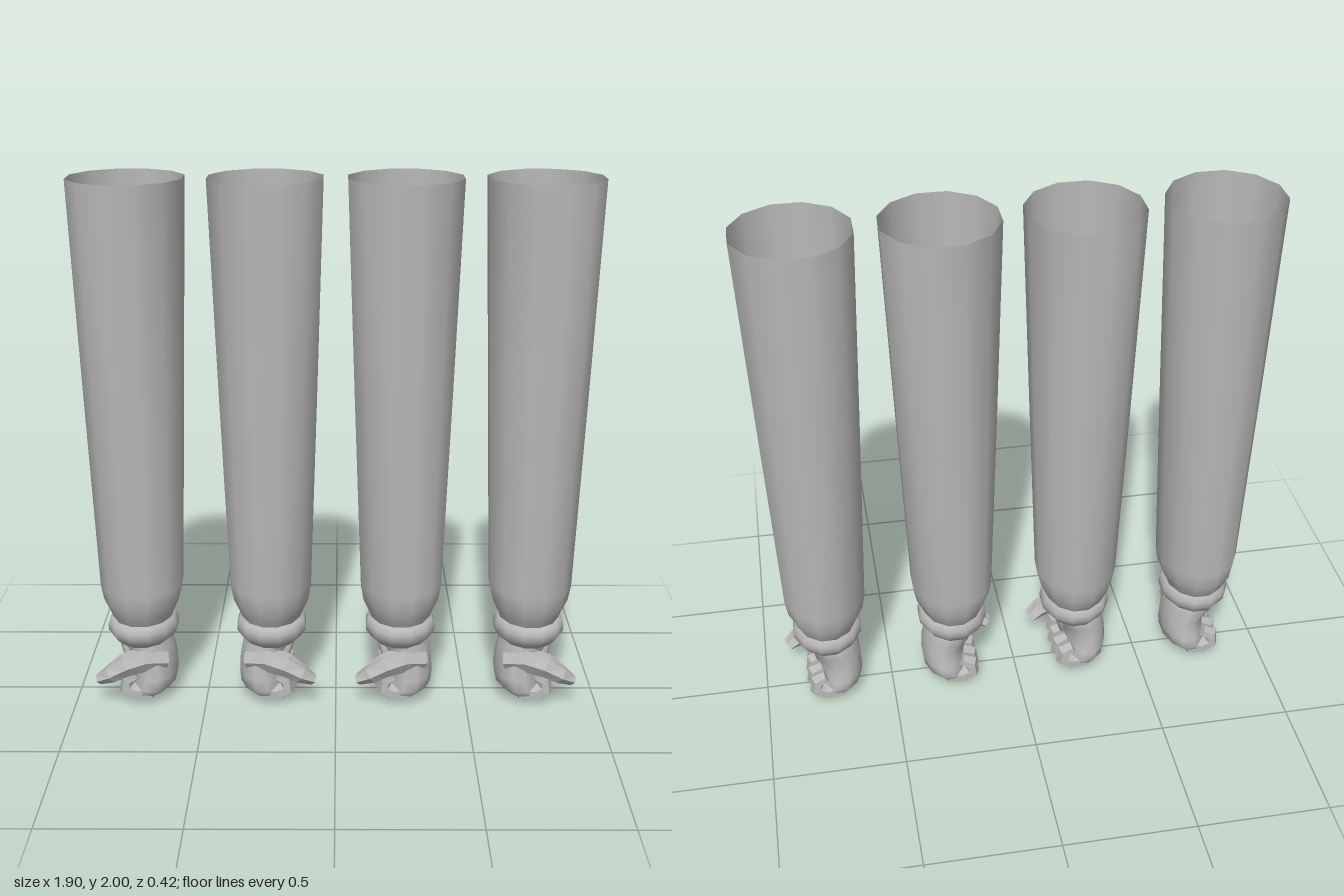
import * as THREE from 'three';

const gray = new THREE.MeshStandardMaterial({ color: 0xb8b8b8, side: THREE.DoubleSide });
gray.name = 'plainGray';

// Skin over rings of { c: centre, u, v: half-axis vectors }; caps close the ends
function loft(rings, sides, { capStart = false, capEnd = false, flat = false } = {}) {
  const pos = [], index = [];
  for (const { c, u, v } of rings) {
    for (let i = 0; i < sides; i++) {
      const a = ((i + 0.5) / sides) * Math.PI * 2;
      const p = c.clone().addScaledVector(u, Math.cos(a)).addScaledVector(v, Math.sin(a));
      pos.push(p.x, p.y, p.z);
    }
  }
  for (let r = 0; r < rings.length - 1; r++) {
    for (let i = 0; i < sides; i++) {
      const j = (i + 1) % sides, a = r * sides, b = a + sides;
      index.push(a + i, a + j, b + i, a + j, b + j, b + i);
    }
  }
  const last = (rings.length - 1) * sides;
  for (let i = 1; i < sides - 1; i++) {
    if (capStart) index.push(0, i + 1, i);
    if (capEnd) index.push(last, last + i, last + i + 1);
  }
  let geo = new THREE.BufferGeometry();
  geo.setAttribute('position', new THREE.Float32BufferAttribute(pos, 3));
  geo.setIndex(index);
  if (flat) geo = geo.toNonIndexed();
  geo.computeVertexNormals();
  return geo;
}

// Level ring from its extents: [y, xMin, xMax, zMin, zMax]
const level = ([y, x0, x1, z0, z1]) => ({
  c: new THREE.Vector3((x0 + x1) / 2, y, (z0 + z1) / 2),
  u: new THREE.Vector3(0, 0, (z1 - z0) / 2),
  v: new THREE.Vector3((x1 - x0) / 2, 0, 0),
});

// Rings along a path of [x, y, z, halfAcross, halfThick], with `across` as the wide axis
function limb(points, across) {
  const p = points.map(([x, y, z]) => new THREE.Vector3(x, y, z));
  return points.map(([, , , w, t], i) => {
    const dir = p[Math.min(i + 1, p.length - 1)].clone().sub(p[Math.max(i - 1, 0)]).normalize();
    const v = dir.clone().cross(across).normalize();
    const u = v.clone().cross(dir).normalize();
    return { c: p[i], u: u.multiplyScalar(w), v: v.multiplyScalar(t) };
  });
}

// Open sleeve, top to bottom
const sleeve = loft([
  [2, -0.212, 0.212, -0.215, 0.215],
  [1.2, -0.185, 0.185, -0.199, 0.199],
  [0.46, -0.158, 0.158, -0.178, 0.182],
  [0.4, -0.147, 0.147, -0.172, 0.176],
  [0.35, -0.124, 0.124, -0.15, 0.154],
  [0.325, -0.115, 0.115, -0.135, 0.14],
].map(level), 12);

// Rolled cuff
const cuff = loft([
  [0.325, -0.115, 0.115, -0.135, 0.14],
  [0.318, -0.126, 0.126, -0.14, 0.155],
  [0.3, -0.135, 0.135, -0.148, 0.164],
  [0.275, -0.136, 0.136, -0.147, 0.164],
  [0.25, -0.12, 0.12, -0.13, 0.145],
  [0.23, -0.098, 0.098, -0.115, 0.125],
].map(level), 12);

// Palm and back of the hand, hollow toward the wrist
const palm = loft([
  [0.245, -0.1, 0.098, -0.115, 0.125],
  [0.21, -0.115, 0.075, -0.126, 0.128],
  [0.16, -0.124, 0.045, -0.113, 0.132],
  [0.1, -0.127, 0.045, -0.138, 0.145],
  [0.06, -0.122, 0.055, -0.14, 0.155],
  [0.03, -0.085, 0.055, -0.125, 0.14],
  [0.005, -0.04, 0.03, -0.08, 0.095],
].map(level), 12, { capEnd: true });

// Curled finger, from the knuckle under the fist up to the tip
const finger = loft(limb([
  [-0.03, 0.036, 0, 0.035, 0.03],
  [0.035, 0.033, 0, 0.038, 0.032],
  [0.07, 0.052, 0, 0.038, 0.032],
  [0.066, 0.09, 0, 0.036, 0.028],
  [0.03, 0.108, 0, 0.03, 0.022],
], new THREE.Vector3(0, 0, 1)), 6, { capStart: true, capEnd: true, flat: true });

// Thumb crossing the front of the fist
const thumb = loft(limb([
  [-0.09, 0.165, 0.08, 0.04, 0.04],
  [-0.01, 0.178, 0.11, 0.05, 0.042],
  [0.06, 0.165, 0.132, 0.046, 0.046],
  [0.115, 0.132, 0.138, 0.036, 0.042],
  [0.16, 0.105, 0.125, 0.022, 0.034],
], new THREE.Vector3(0, 1, 0)), 6, { capStart: true, capEnd: true, flat: true });

// Crease running up the palm from the fingers to the wrist
const palmHeel = loft(limb([
  [0.02, 0.09, 0.03, 0.05, 0.03],
  [0.035, 0.16, 0.05, 0.055, 0.035],
  [0.06, 0.235, 0.04, 0.045, 0.03],
], new THREE.Vector3(0, 0, 1)), 8, { capStart: true, capEnd: true });

function part(name, geo) {
  const mesh = new THREE.Mesh(geo, gray);
  mesh.name = name;
  return mesh;
}

// One arm with its palm toward +x
function makeArm() {
  const arm = new THREE.Group();
  arm.add(part('sleeve', sleeve), part('cuff', cuff), part('palm', palm),
    part('palmHeel', palmHeel), part('thumb', thumb));
  for (let i = 0; i < 4; i++) {
    const f = part('finger' + (i + 1), finger);
    const outer = i === 0 || i === 3;
    f.position.set(outer ? -0.008 : 0, outer ? 0.008 : 0, 0.108 - i * 0.068);
    arm.add(f);
  }
  return arm;
}

export function createModel() {
  const model = new THREE.Group();
  model.name = 'arms';
  // Two pairs, each with a mirrored right arm
  [-0.743, -0.248, 0.248, 0.743].forEach((x, i) => {
    const arm = makeArm();
    arm.name = i % 2 ? 'leftArm' : 'rightArm';
    arm.position.x = x;
    arm.scale.x = i % 2 ? 1 : -1;
    model.add(arm);
  });
  return model;
}
